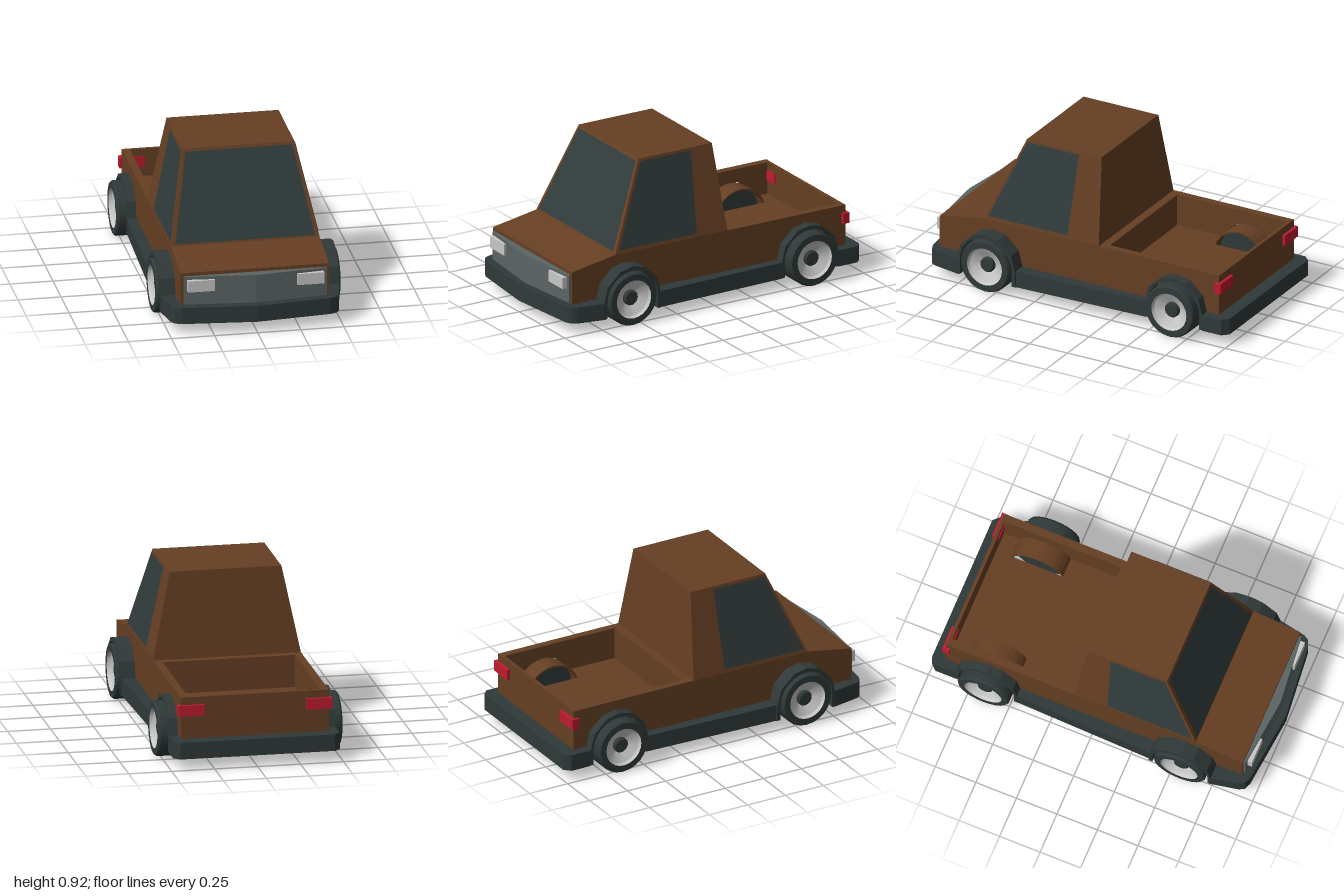
import * as THREE from 'three';
import { toCreasedNormals } from 'three/addons/utils/BufferGeometryUtils.js';

const material = (name, color, side = THREE.FrontSide) => {
  const m = new THREE.MeshStandardMaterial({ color, side });
  m.name = name;
  return m;
};

export function createModel() {
  const brown = material('brown paint', 0x663f23);
  const dark = material('dark trim', 0x303939);
  const glass = material('dark glass', 0x323c3c, THREE.DoubleSide);
  const grey = material('grille grey', 0x5c6564);
  const silver = material('silver', 0xc8c8ca);
  const red = material('tail red', 0xc01a30);

  const truck = new THREE.Group();
  truck.name = 'pickupTruck';
  const add = (name, geo, mat, parent = truck) => {
    const mesh = new THREE.Mesh(geo, mat);
    mesh.name = name;
    parent.add(mesh);
    return mesh;
  };
  const toShape = pts => new THREE.Shape(pts.map(p => new THREE.Vector2(...p)));
  const extrude = (pts, depth) =>
    new THREE.ExtrudeGeometry(toShape(pts), { depth, bevelEnabled: false });
  // (z, y) outline extruded between two x values
  const slab = (pts, x0, x1) =>
    extrude(pts, x1 - x0).rotateY(-Math.PI / 2).translate(x1, 0, 0);
  // the same slab on either side of the model
  const sideSlab = (pts, a, b, s) => slab(pts, Math.min(a * s, b * s), Math.max(a * s, b * s));
  // (x, z) outline extruded between two heights
  const plate = (pts, y0, y1) =>
    extrude(pts, y1 - y0).rotateX(Math.PI / 2).translate(0, y1, 0);
  const box = (x0, x1, y0, y1, z0, z1) =>
    new THREE.BoxGeometry(x1 - x0, y1 - y0, z1 - z0)
      .translate((x0 + x1) / 2, (y0 + y1) / 2, (z0 + z1) / 2);
  const mirrorX = pts => [...pts, ...pts.filter(p => p[0] !== 0).reverse().map(([x, z]) => [-x, z])];

  const FRONT = 0.56, REAR = -0.65, AXLE = 0.16, BOTTOM = 0.07, FLOOR = 0.22;
  const arc = (cz, r, a0, a1, n = 12) => Array.from({ length: n + 1 }, (_, i) => {
    const a = a0 + (a1 - a0) * i / n;
    return [cz + r * Math.cos(a), AXLE + r * Math.sin(a)];
  });
  // wheel opening cut into the bottom edge, running towards +z
  const arch = (cz, r) => [[cz - r, BOTTOM], ...arc(cz, r, Math.PI, 0), [cz + r, BOTTOM]];
  const nose = [[0.91, BOTTOM], [0.91, 0.36], [0.62, 0.41]];

  // Lower body, layered across its width
  const panel = [[-0.92, BOTTOM], ...arch(REAR, 0.175), ...arch(FRONT, 0.175), ...nose, [-0.92, 0.41]];
  const bedRear = [[-0.9, FLOOR], [-0.9, 0.41], [-0.92, 0.41]];
  const bedFront = [[-0.18, 0.41], [-0.18, FLOOR]];
  const hump = Math.asin((FLOOR - AXLE) / 0.172);
  const wellStrip = [[-0.92, BOTTOM], ...arch(REAR, 0.164), ...arch(FRONT, 0.17), ...nose,
    ...bedFront, ...arc(REAR, 0.172, hump, Math.PI - hump), ...bedRear];
  const core = [[-0.92, BOTTOM], ...nose, ...bedFront, ...bedRear];
  add('bodyCore', slab(core, -0.27, 0.27), brown);
  for (const s of [-1, 1]) {
    add('wheelWell', sideSlab(wellStrip, 0.27, 0.385, s), brown);
    add('sidePanel', sideSlab(panel, 0.385, 0.43, s), brown);
  }

  // Tapered cab
  const Y0 = 0.41, Y1 = 0.918;
  const cab = new THREE.BoxGeometry(1, 1, 1);
  const p = cab.attributes.position;
  for (let i = 0; i < p.count; i++) {
    const top = p.getY(i) > 0, front = p.getZ(i) > 0;
    p.setXYZ(i, Math.sign(p.getX(i)) * (top ? 0.325 : 0.43), top ? Y1 : Y0,
      front ? (top ? 0.4 : 0.62) : (top ? -0.09 : -0.13));
  }
  cab.computeVertexNormals();
  add('cab', cab, brown);

  // Glass lying just outside the cab faces
  const rise = y => (y - Y0) / (Y1 - Y0);
  const sideX = y => 0.434 - 0.105 * rise(y);
  const frontZ = y => 0.624 - 0.22 * rise(y);
  const quad = c => {
    const g = new THREE.BufferGeometry();
    g.setAttribute('position', new THREE.Float32BufferAttribute([0, 1, 2, 0, 2, 3].flatMap(i => c[i]), 3));
    g.computeVertexNormals();
    return g;
  };
  const lo = 0.422, hi = 0.903;
  add('windscreen', quad([[-0.405, lo, frontZ(lo)], [0.405, lo, frontZ(lo)],
    [0.31, hi, frontZ(hi)], [-0.31, hi, frontZ(hi)]]), glass);
  for (const s of [-1, 1]) {
    const c = [[0.595, 0.43], [0.075, 0.43], [0.055, hi], [0.392, hi]]
      .map(([z, y]) => [s * sideX(y), y, z]);
    add('sideWindow', quad(s > 0 ? c : c.reverse()), glass);
  }

  // Bumpers and sills
  add('frontBumper', plate([...mirrorX([[0.42, 0.74], [0.52, 0.74], [0.487, 0.91], [0.47, 0.94], [0.43, 0.957], [0, 1]]),
    [-0.42, 0.905], [0.42, 0.905]], BOTTOM - 0.003, 0.165), dark);
  add('rearBumper', plate([...mirrorX([[0.42, -0.84], [0.485, -0.84], [0.485, -0.965], [0.45, -1]]),
    [-0.42, -0.915], [0.42, -0.915]], BOTTOM - 0.003, 0.165), dark);
  for (const s of [-1, 1]) {
    add('sill', plate([[0.42, 0.38], [0.51, 0.38], [0.483, -0.47], [0.42, -0.47]]
      .map(([x, z]) => [x * s, z]), BOTTOM - 0.003, 0.165), dark);
  }

  // Faceted wheel-arch flares
  const flare = cz => [
    ...[[-0.195, BOTTOM], [-0.19, 0.16], [-0.165, 0.26], [-0.08, 0.338], [0, 0.356],
      [0.08, 0.338], [0.165, 0.26], [0.19, 0.16], [0.195, BOTTOM]].map(([z, y]) => [cz + z, y]),
    ...arch(cz, 0.17).reverse()];

  // Wheels: tyre, dished rim and hub
  const lathe = pts => toCreasedNormals(
    new THREE.LatheGeometry(pts.map(q => new THREE.Vector2(...q)), 24), 0.5).rotateZ(-Math.PI / 2);
  const tyre = lathe([[0, -0.102], [0.152, -0.102], [0.16, -0.092], [0.16, 0.09], [0.152, 0.102], [0.115, 0.102]]);
  const rim = lathe([[0.115, 0.102], [0.105, 0.085], [0.04, 0.05]]);
  const hub = lathe([[0.045, 0.04], [0.045, 0.07], [0.038, 0.078], [0, 0.078]]);
  for (const s of [-1, 1]) {
    for (const [label, z, flareX] of [['front', FRONT, 0.52], ['rear', REAR, 0.485]]) {
      add(label + 'Flare', sideSlab(flare(z), 0.42, flareX, s), dark);
      const wheel = new THREE.Group();
      wheel.name = label + 'Wheel';
      wheel.position.set(s * 0.433, AXLE, z);
      wheel.rotation.y = s > 0 ? 0 : Math.PI;
      add('tyre', tyre, dark, wheel);
      add('rim', rim, silver, wheel);
      add('hub', hub, dark, wheel);
      truck.add(wheel);
    }
  }

  // Bowed grille and lamps
  add('grille', plate(mirrorX([[0.415, 0.9], [0.415, 0.922], [0, 0.965]]), 0.172, 0.34), grey);
  for (const s of [-1, 1]) {
    const a = Math.min(s * 0.24, s * 0.395), b = Math.max(s * 0.24, s * 0.395);
    add('headlight', box(a, b, 0.255, 0.323, 0.91, 0.952), silver);
    const c = Math.min(s * 0.298, s * 0.447), d = Math.max(s * 0.298, s * 0.447);
    add('tailLight', box(c, d, 0.302, 0.365, -0.938, -0.895), red);
  }
  return truck;
}
